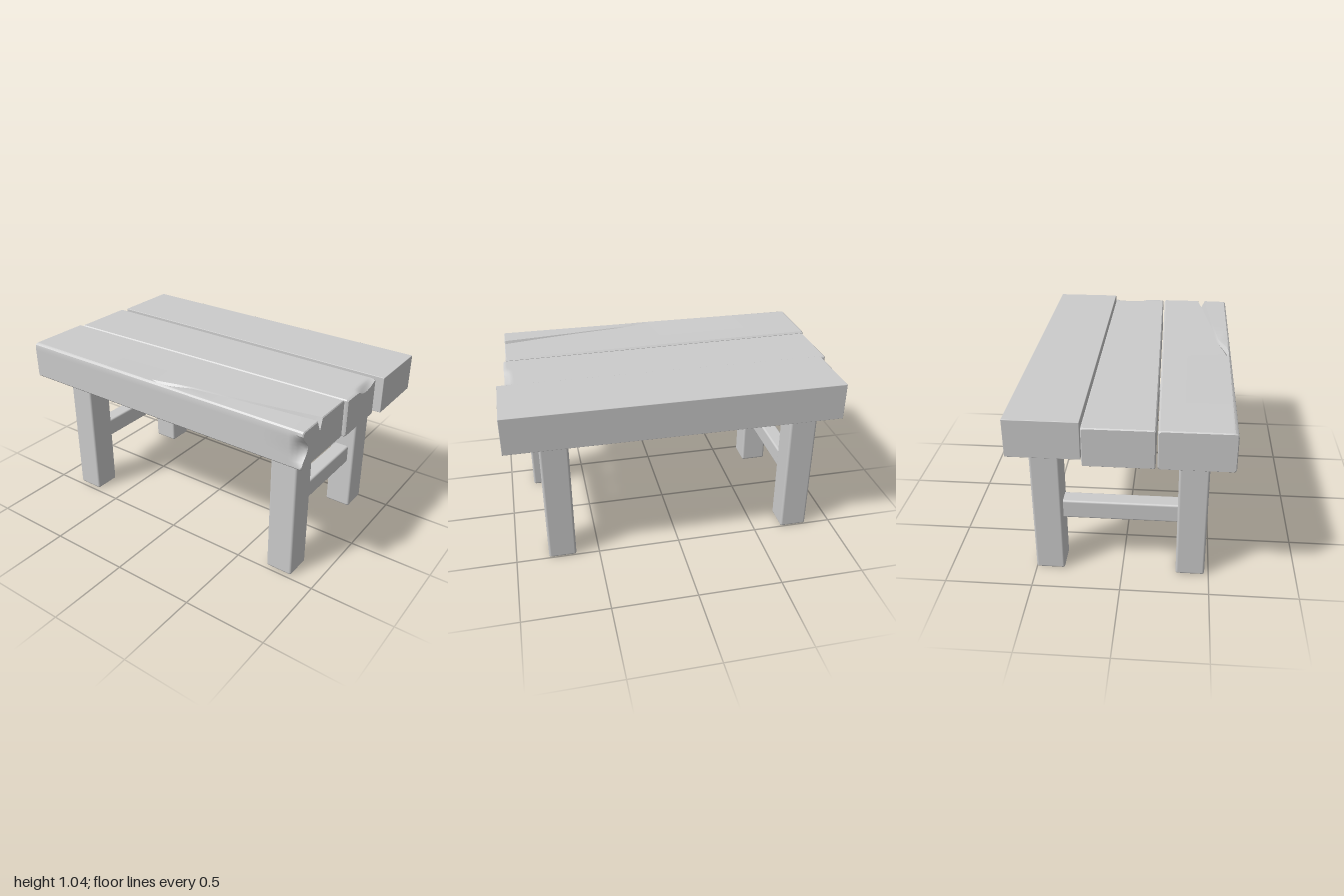
import * as THREE from 'three';
import { toCreasedNormals } from 'three/addons/utils/BufferGeometryUtils.js';
import { RoundedBoxGeometry } from 'three/addons/geometries/RoundedBoxGeometry.js';

const material = new THREE.MeshStandardMaterial({ color: 0xcccccc });
const { lerp, smoothstep } = THREE.MathUtils;

function add(group, name, geometry, x = 0, y = 0, z = 0) {
  const mesh = new THREE.Mesh(geometry, material);
  mesh.name = name;
  mesh.position.set(x, y, z);
  group.add(mesh);
}

// Closed loft along x; section(x) gives [z, y] points, counter-clockwise seen from +x.
function loft(stations, section) {
  const rings = stations.map(section);
  const n = rings[0].length, last = rings.length - 1;
  // soften the end edges a little
  for (const k of [0, last]) {
    const cz = rings[k].reduce((s, p) => s + p[0], 0) / n;
    rings[k] = rings[k].map(([z, y]) => [z - 0.005 * Math.sign(z - cz), y - 0.005 * Math.sign(y - 0.92)]);
  }
  const positions = [], index = [];
  rings.forEach((ring, i) => ring.forEach(([z, y]) => positions.push(stations[i], y, z)));
  for (let i = 0; i < last; i++) {
    for (let j = 0; j < n; j++) {
      const a = i * n + j, b = i * n + (j + 1) % n;
      index.push(a, b, b + n, a, b + n, a + n);
    }
  }
  for (const k of [0, last]) {
    const outline = rings[k].map(([z, y]) => new THREE.Vector2(-z, y));
    for (const [a, b, c] of THREE.ShapeUtils.triangulateShape(outline, [])) {
      if (k) index.push(k * n + a, k * n + b, k * n + c);
      else index.push(a, c, b);
    }
  }
  const geometry = new THREE.BufferGeometry();
  geometry.setAttribute('position', new THREE.Float32BufferAttribute(positions, 3));
  geometry.setIndex(index);
  return toCreasedNormals(geometry, 0.6);
}

// Crack in the front plank: x, back lip z, bottom z, front lip z, depth
const crack = [
  [-1, 0.56, 0.57, 0.58, 0],
  [-0.06, 0.57, 0.578, 0.586, 0],
  [0, 0.56, 0.575, 0.587, 0.012],
  [0.08, 0.54, 0.553, 0.58, 0.012],
  [0.2, 0.513, 0.52, 0.53, 0.015],
  [0.45, 0.484, 0.491, 0.5, 0.02],
  [0.7, 0.445, 0.455, 0.472, 0.04],
  [0.94, 0.4, 0.42, 0.45, 0.065],
];
function crackAt(x) {
  let i = 0;
  while (i < crack.length - 2 && x > crack[i + 1][0]) i++;
  const t = (x - crack[i][0]) / (crack[i + 1][0] - crack[i][0]);
  return crack[i].map((v, k) => lerp(v, crack[i + 1][k], t));
}

// Front plank: slanted back edge, crack on top, scooped chip at the front right corner
function frontSection(x) {
  const back = 0.18 - 0.02 * x, bottom = 0.81, top = 1.035, r = 0.01;
  const [, zBack, zLow, zFront, depth] = crackAt(x);
  const points = [
    [back + r, bottom], [back, bottom + r], [back, top - r], [back + r, top],
    [zBack, top], [zLow, top - depth], [zFront, top], [0.588, top - 0.002], [0.597, top - 0.01],
  ];
  const chip = 0.055 * smoothstep(x, 0.86, 0.94);
  for (let i = 0; i <= 8; i++) {
    const y = lerp(1.01, 0.83, i / 8);
    points.push([0.6 - chip * Math.sin(Math.PI * i / 8) ** 1.5, y]);
  }
  points.push([0.6, bottom + r], [0.59, bottom]);
  return points;
}

// Middle plank: slanted front edge, worn dip in the top of the right end
function middleSection(x) {
  const back = -0.19, front = 0.17 - 0.02 * x, bottom = 0.805, top = 1.03, r = 0.006;
  const points = [[back + r, bottom], [back, bottom + r], [back, top - r]];
  const wear = 0.03 * smoothstep(x, 0.915, 0.955);
  for (let i = 0; i <= 14; i++) {
    const z = lerp(back + r, front - r, i / 14);
    const dip = Math.max(0, Math.cos((z + 0.08) / 0.11 * Math.PI / 2));
    points.push([z, top - (Math.abs(z + 0.08) < 0.11 ? wear * dip : 0)]);
  }
  points.push([front, top - r], [front, bottom + r], [front - r, bottom]);
  return points;
}

export function createModel() {
  const group = new THREE.Group();
  group.name = 'bench';

  // Table top
  add(group, 'backPlank', new RoundedBoxGeometry(1.95, 0.22, 0.4, 1, 0.003), 0.025, 0.93, -0.4);
  add(group, 'middlePlank',
    loft([-0.99, -0.983, 0.9, 0.915, 0.925, 0.935, 0.945, 0.955], middleSection));
  add(group, 'frontPlank',
    loft([-1, -0.993, -0.06, 0, 0.08, 0.2, 0.45, 0.7, 0.86, 0.88, 0.9, 0.92, 0.935, 0.94], frontSection));

  // Legs
  const legs = [
    ['frontLeftLeg', 0.767, 0.393], ['backLeftLeg', 0.722, -0.418],
    ['frontRightLeg', -0.757, 0.393], ['backRightLeg', -0.757, -0.418],
  ];
  for (const [name, x, z] of legs) {
    add(group, name, new RoundedBoxGeometry(0.165, 0.812, 0.166, 3, 0.014), x, 0.406, z);
  }

  // Rails joining each pair of legs
  for (const [name, x] of [['leftRail', 0.715], ['rightRail', -0.745]]) {
    add(group, name, new RoundedBoxGeometry(0.095, 0.115, 0.69, 3, 0.012), x, 0.388, -0.012);
  }
  return group;
}
